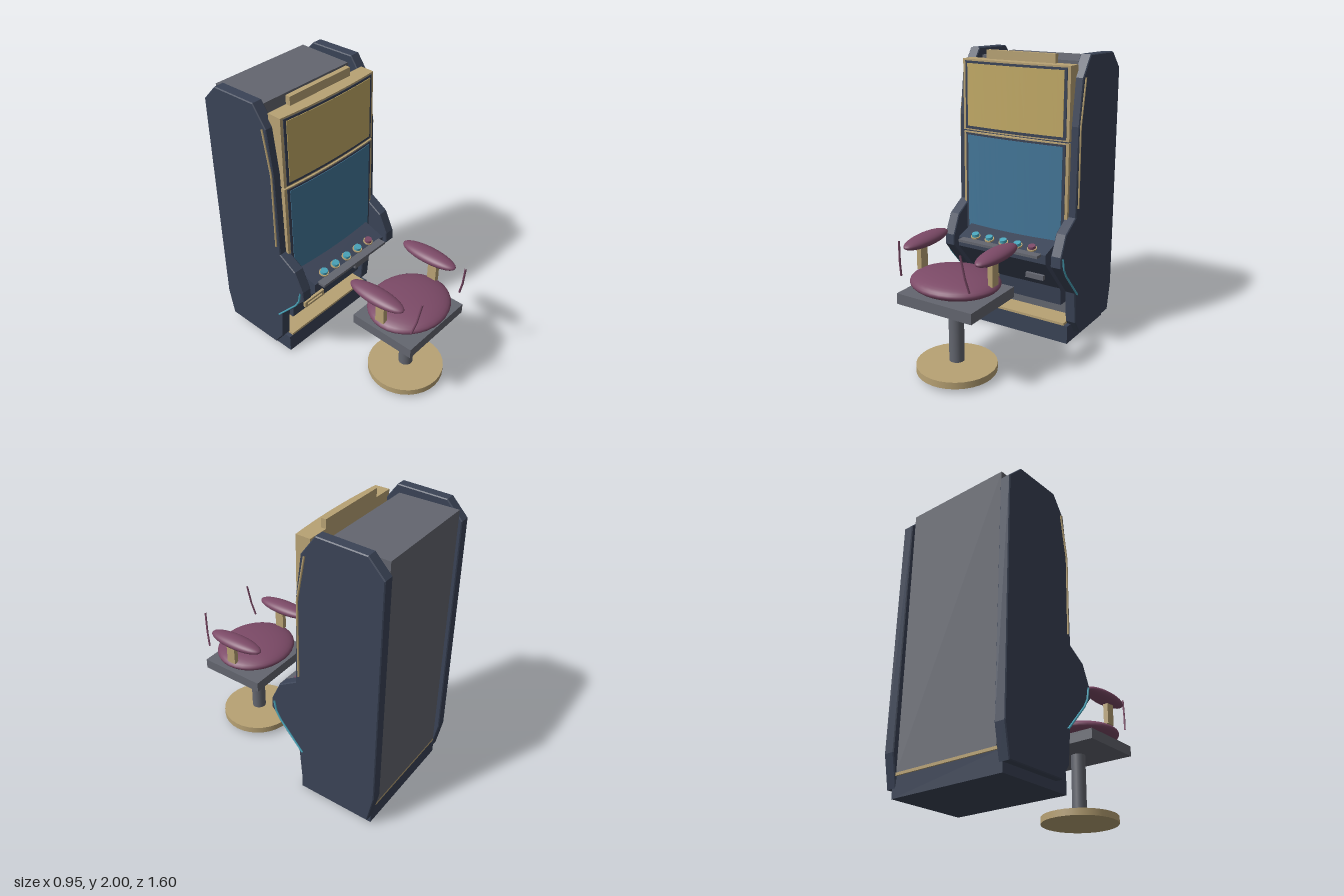
import * as THREE from 'three';
import { toCreasedNormals } from 'three/addons/utils/BufferGeometryUtils.js';

const mat = (name, color) => {
  const m = new THREE.MeshStandardMaterial({ color });
  m.name = name;
  return m;
};

export function createModel() {
  const root = new THREE.Group();
  const navy = mat('navy', 0x3a4356);
  const grey = mat('grey', 0x63666f);
  const gold = mat('gold', 0xb8a274);
  const amber = mat('amberScreen', 0xc2aa66);
  const blue = mat('blueScreen', 0x437698);
  const cyan = mat('cyan', 0x4aa6bc);
  const plum = mat('plum', 0x7c4a67);

  const add = (name, geo, material, parent = root) => {
    const mesh = new THREE.Mesh(geo, material);
    mesh.name = name;
    parent.add(mesh);
    return mesh;
  };
  // Box given by its lower and upper limits
  const box = (name, material, [x0, x1], [y0, y1], [z0, z1], parent) => {
    const mesh = add(name, new THREE.BoxGeometry(x1 - x0, y1 - y0, z1 - z0), material, parent);
    mesh.position.set((x0 + x1) / 2, (y0 + y1) / 2, (z0 + z1) / 2);
    return mesh;
  };
  // Side profile of [z, y] points extruded across x
  const profile = (points, x0, x1, bevel = 0) => {
    const shape = new THREE.Shape(points.map(([z, y]) => new THREE.Vector2(-z, y)));
    const geo = new THREE.ExtrudeGeometry(shape, {
      depth: x1 - x0 - 2 * bevel, bevelEnabled: bevel > 0, bevelSegments: 1,
      bevelSize: bevel, bevelThickness: bevel, bevelOffset: -bevel,
    });
    return geo.rotateY(Math.PI / 2).translate(x0 + bevel, 0, 0);
  };
  // Panel with a gently bowed front
  const bowed = (halfWidth, y0, y1, back, front) => {
    const bow = (x) => front - 0.018 * (x / 0.41) ** 2;
    const pts = [];
    const n = 16;
    for (let i = 0; i <= n; i++) {
      const x = halfWidth * (2 * i / n - 1);
      pts.push(new THREE.Vector2(x, -bow(x)));
    }
    for (let i = n; i >= 0; i--) {
      const x = halfWidth * (2 * i / n - 1);
      pts.push(new THREE.Vector2(x, back === null ? -bow(x) + 0.006 : -back));
    }
    const geo = new THREE.ExtrudeGeometry(new THREE.Shape(pts), { depth: y1 - y0, bevelEnabled: false });
    return toCreasedNormals(geo.rotateX(-Math.PI / 2).translate(0, y0, 0), 0.5);
  };
  // Thin bar following straight runs between points
  const bar = (name, points, radius, material, parent) => {
    const path = new THREE.CurvePath();
    const v = points.map((p) => new THREE.Vector3(...p));
    for (let i = 1; i < v.length; i++) path.add(new THREE.LineCurve3(v[i - 1], v[i]));
    return add(name, new THREE.TubeGeometry(path, 24, radius, 6), material, parent);
  };

  // Cabinet base, ledge and main body
  box('cabinetBase', navy, [-0.42, 0.42], [0, 0.132], [-0.76, -0.2]);
  box('baseLedge', gold, [-0.39, 0.39], [0.132, 0.15], [-0.77, -0.2]);
  box('cabinetBody', grey, [-0.383, 0.383], [0.15, 1.95], [-0.77, -0.36]);

  // Side panels with their trim strips
  const sideProfile = [
    [-0.30, 0.06], [-0.23, 0.16], [-0.21, 0.39], [0.01, 0.645], [0.005, 0.72], [-0.06, 0.86],
    [-0.19, 0.94], [-0.2, 1.55], [-0.24, 1.86], [-0.34, 2], [-0.68, 1.99], [-0.79, 1.875],
    [-0.8, 0.27], [-0.76, 0.06],
  ];
  for (const s of [-1, 1]) {
    const [a, b] = s > 0 ? [0.39, 0.467] : [-0.467, -0.39];
    add('sidePanel', profile(sideProfile, a, b, 0.006), navy);
    const x = s * 0.47;
    bar('upperSideTrim', [[x, 1.0, -0.218], [x, 1.55, -0.215], [x, 1.86, -0.27]], 0.007, gold);
    bar('lowerSideTrim', [[x, 0.71, -0.015], [x, 0.63, -0.03], [x, 0.57, -0.065], [x, 0.375, -0.24]], 0.007, cyan);
  }

  // Two bowed displays: housing, bezel and screen
  const displays = [
    ['upper', 1.452, 1.94, 1.462, 1.928, 1.482, 1.912, amber],
    ['lower', 0.685, 1.44, 0.7, 1.432, 0.715, 1.418, blue],
  ];
  for (const [name, h0, h1, b0, b1, s0, s1, material] of displays) {
    add(name + 'Housing', bowed(0.413, h0, h1, -0.27, -0.15), gold);
    add(name + 'Bezel', bowed(0.392, b0, b1, null, -0.146), navy);
    add(name + 'Screen', bowed(0.372, s0, s1, null, -0.142), material);
  }
  box('displayJoint', navy, [-0.4, 0.4], [1.44, 1.452], [-0.26, -0.18]);
  box('topper', gold, [-0.265, 0.265], [1.935, 2], [-0.27, -0.235]);

  // Control deck and its sloping underside
  add('controlDeck', profile([
    [-0.33, 0.27], [-0.23, 0.27], [-0.215, 0.4], [0.005, 0.65], [0.005, 0.715], [-0.16, 0.772], [-0.33, 0.772],
  ], -0.35, 0.35), navy);
  box('wristTray', grey, [-0.315, 0.315], [0.7, 0.718], [-0.01, 0.058]);

  // Row of buttons in gold rings
  for (let i = 0; i < 5; i++) {
    const button = new THREE.Group();
    button.name = 'button';
    button.position.set((i - 2) * 0.114, 0.728, -0.03);
    button.rotation.x = 0.25;
    add('buttonRing', new THREE.CylinderGeometry(0.034, 0.034, 0.014, 20), gold, button);
    add('buttonCap', new THREE.CylinderGeometry(0.025, 0.027, 0.03, 20), i === 4 ? plum : cyan, button)
      .position.y = 0.012;
    root.add(button);
  }

  // Ticket slot and small ledge under the deck
  const slot = new THREE.Shape([[-0.095, -0.024], [0.095, -0.024], [0.095, 0.024], [-0.095, 0.024]]
    .map((p) => new THREE.Vector2(...p)));
  slot.holes.push(new THREE.Path([[-0.072, -0.008], [-0.072, 0.008], [0.072, 0.008], [0.072, -0.008]]
    .map((p) => new THREE.Vector2(...p))));
  add('ticketSlot', new THREE.ExtrudeGeometry(slot, { depth: 0.02, bevelEnabled: false }), gold)
    .position.set(-0.212, 0.408, -0.16);
  box('slotOpening', navy, [-0.287, -0.137], [0.398, 0.418], [-0.162, -0.156]);
  box('cardLedge', grey, [0.15, 0.29], [0.493, 0.528], [-0.1, -0.075]);

  // Stool
  const stool = new THREE.Group();
  stool.name = 'stool';
  stool.position.z = 0.533;
  root.add(stool);
  add('stoolFoot', new THREE.CylinderGeometry(0.265, 0.265, 0.046, 32), gold, stool).position.y = 0.053;
  add('stoolColumn', new THREE.CylinderGeometry(0.05, 0.05, 0.42, 24), grey, stool).position.y = 0.305;
  box('seatPlate', grey, [-0.282, 0.282], [0.51, 0.582], [-0.243, 0.238], stool);
  const pad = (name, x, y, z, rx, ry, rz) => {
    const mesh = add(name, new THREE.SphereGeometry(1, 32, 20), plum, stool);
    mesh.position.set(x, y, z);
    mesh.scale.set(rx, ry, rz);
  };
  pad('seatCushion', 0, 0.645, 0, 0.3, 0.07, 0.264);
  for (const s of [-1, 1]) {
    pad('armrest', s * 0.27, 0.856, -0.058, 0.071, 0.041, 0.215);
    box('armPost', gold, s > 0 ? [0.255, 0.29] : [-0.29, -0.255], [0.67, 0.83], [-0.05, 0.018], stool);
    bar('backRod', [[s * 0.257, 0.7, 0.217], [s * 0.243, 0.8, 0.242], [s * 0.226, 0.95, 0.262]], 0.007, plum, stool);
  }
  return root;
}
